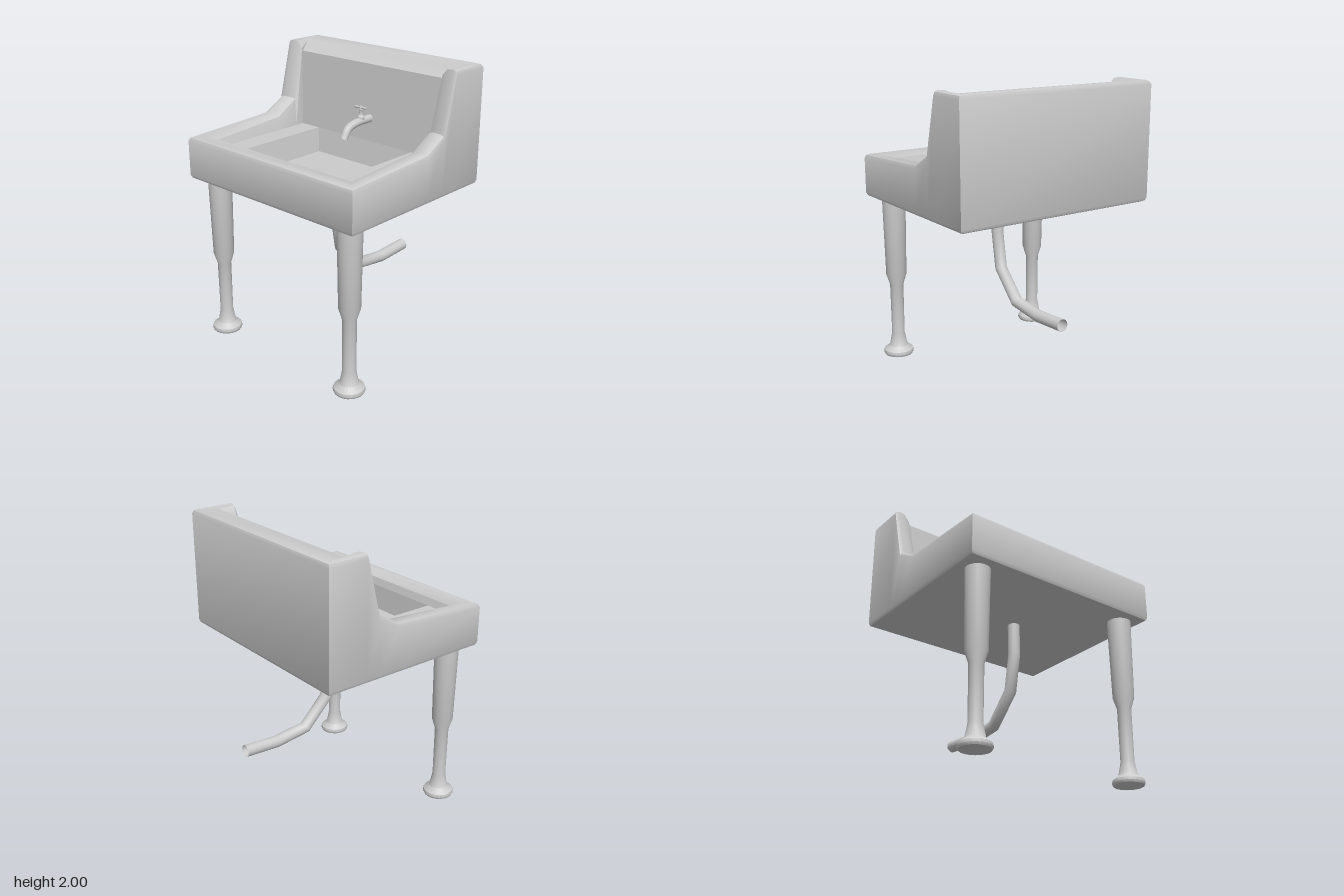
import * as THREE from 'three';
import { toCreasedNormals } from 'three/addons/utils/BufferGeometryUtils.js';

const grey = new THREE.MeshStandardMaterial({ color: 0xcccccc });
const greyOpen = new THREE.MeshStandardMaterial({ color: 0xcccccc, side: THREE.DoubleSide });

function add(parent, name, geometry, material = grey) {
  const mesh = new THREE.Mesh(geometry, material);
  mesh.name = name;
  parent.add(mesh);
  return mesh;
}

// Joins half rings (back to front on the left side), mirrored, into one skin
function loftMirrored(halfRings) {
  const positions = [], index = [];
  const n = halfRings[0].length * 2;
  for (const half of halfRings) {
    const mirrored = half.map(([x, y, z]) => [-x, y, z]).reverse();
    for (const p of [...half, ...mirrored]) positions.push(...p);
  }
  for (let j = 0; j < halfRings.length - 1; j++) {
    for (let i = 0; i < n; i++) {
      const a = j * n + i, b = j * n + (i + 1) % n;
      index.push(a, a + n, b, b, a + n, b + n);
    }
  }
  const g = new THREE.BufferGeometry();
  g.setAttribute('position', new THREE.Float32BufferAttribute(positions, 3));
  g.setIndex(index);
  return toCreasedNormals(g, 0.65);
}

function basinGeometry() {
  // Side outline of the rim, back to front: [z, y]
  const rim = [[-0.57, 2], [-0.28, 2], [-0.18, 1.6], [-0.02, 1.51], [0.69, 1.475]];
  const last = rim.length - 1;
  // Outer ring pulled in by d; y is fixed or follows the rim
  const outer = (d, yOf) => rim.map(([z, y], i) =>
    [0.75 - d, yOf(y), z + (i === 0 ? d : i === last ? -d : 0)]);
  // Inner ring at one height, z squeezed between back and front
  const inner = (x, y, back, front) => rim.map(([z], i) =>
    [x, y, i === last ? front : Math.max(back, z)]);
  const point = (y, z) => rim.map(() => [0, y, z]);

  return loftMirrored([
    point(1.17, 0),
    // underside and rounded lower edge
    outer(0.03, () => 1.17),
    outer(0.009, () => 1.179),
    outer(0, () => 1.2),
    // outer walls and rounded rim
    outer(0, y => y - 0.03),
    outer(0.009, y => y - 0.009),
    outer(0.03, y => y),
    [[0.68, 1.985, -0.4], [0.67, 1.995, -0.285], [0.66, 1.6, -0.185], [0.66, 1.505, -0.025], [0.66, 1.47, 0.6]],
    [[0.63, 1.93, -0.295], [0.63, 1.95, -0.29], [0.62, 1.59, -0.2], [0.615, 1.49, -0.03], [0.61, 1.45, 0.545]],
    // inner walls, side ledges, sunken floor
    inner(0.59, 1.4, -0.25, 0.53),
    inner(0.43, 1.4, -0.25, 0.53),
    inner(0.4, 1.23, -0.22, 0.52),
    point(1.23, 0.15),
  ]);
}

// Tube in the plane x = 0.05 through [z, y] points
function pipe(points, radius, segments, sides) {
  const curve = new THREE.CatmullRomCurve3(points.map(([z, y]) => new THREE.Vector3(0.05, y, z)));
  curve.getPointAt = curve.getPoint;
  curve.getTangentAt = curve.getTangent;
  return new THREE.TubeGeometry(curve, segments, radius, sides);
}

const lathe = (profile, sides) => toCreasedNormals(
  new THREE.LatheGeometry(profile.map(([r, y]) => new THREE.Vector2(r, y)), sides), 0.7);

export function createModel() {
  const model = new THREE.Group();
  model.name = 'utilitySink';

  add(model, 'basin', basinGeometry());

  // Two front legs with flared feet
  const legGeometry = lathe([[0, 0], [0.1, 0], [0.108, 0.015], [0.104, 0.035], [0.065, 0.065], [0.052, 0.125],
    [0.046, 0.16], [0.048, 0.53], [0.073, 0.61], [0.083, 1.18]], 20);
  for (const side of [-1, 1]) {
    const leg = add(model, side > 0 ? 'leftLeg' : 'rightLeg', legGeometry);
    leg.position.set(side * 0.607, 0, 0.55);
  }

  // Drain pipe with straight segments bending back to the wall
  const drain = [[0.07, 1.2], [0.075, 0.945], [0.03, 0.685], [-0.16, 0.49], [-0.41, 0.46], [-0.667, 0.475]];
  add(model, 'drainPipe', pipe(drain, 0.042, drain.length - 1, 16), greyOpen);

  // Tap on the back wall
  const tap = new THREE.Group();
  tap.name = 'tap';
  model.add(tap);
  add(tap, 'spout', pipe([[-0.28, 1.56], [-0.12, 1.555], [-0.04, 1.53], [0, 1.47]], 0.028, 12, 14), greyOpen);
  const stem = add(tap, 'valveStem', lathe([[0.026, 1.56], [0.026, 1.59], [0.012, 1.605], [0.01, 1.63],
    [0.014, 1.64], [0.008, 1.665], [0, 1.667]], 12));
  stem.position.set(0.05, 0, -0.17);
  const bar = add(tap, 'handle', new THREE.CylinderGeometry(0.008, 0.008, 0.1, 10));
  bar.rotation.z = Math.PI / 2;
  bar.position.set(0.05, 1.655, -0.17);

  return model;
}
